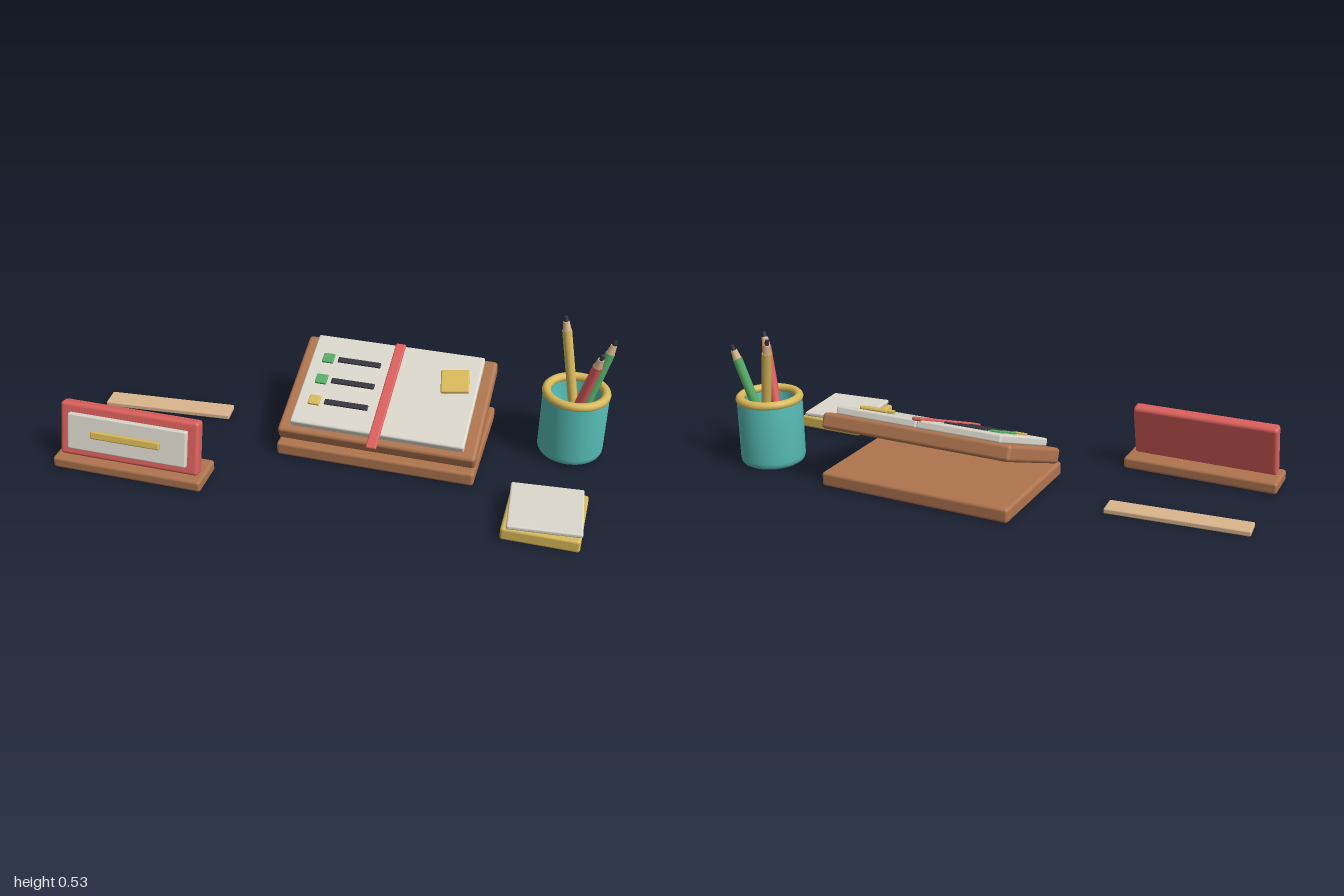
import * as THREE from 'three';
import { RoundedBoxGeometry } from 'three/addons/geometries/RoundedBoxGeometry.js';

const mat = (name, color) => new THREE.MeshStandardMaterial({ name, color });

export function createModel() {
  const brown = mat('brown wood', 0xb0754f);
  const red = mat('red', 0xdb605c);
  const tan = mat('pale wood', 0xdab68c);
  const teal = mat('teal', 0x55b9b2);
  const yellow = mat('yellow', 0xd8b95a);
  const paper = mat('paper', 0xdcd8cc);
  const dark = mat('graphite', 0x36353f);
  const green = mat('green', 0x57ad68);

  const model = new THREE.Group();
  model.name = 'deskSet';

  const group = (name, x = 0, y = 0, z = 0, parent = model) => {
    const g = new THREE.Group();
    g.name = name;
    g.position.set(x, y, z);
    parent.add(g);
    return g;
  };
  const add = (parent, name, geometry, material, x = 0, y = 0, z = 0) => {
    const m = new THREE.Mesh(geometry, material);
    m.name = name;
    m.position.set(x, y, z);
    parent.add(m);
    return m;
  };
  // Softly rounded slab
  const slab = (parent, name, material, [w, h, d], [x, y, z], r = 0.012) =>
    add(parent, name, new RoundedBoxGeometry(w, h, d, 3, Math.min(r, w * 0.45, h * 0.45, d * 0.45)), material, x, y, z);

  // Planner on a tilted stand
  const stand = group('plannerStand', 0.168, 0, -0.157);
  slab(stand, 'standBase', brown, [0.765, 0.055, 0.485], [0, 0.0275, 0]);
  const board = group('tiltedBoard', 0, 0.17, 0, stand);
  board.rotation.x = 0.375;
  slab(board, 'backBoard', brown, [0.765, 0.06, 0.475], [0, 0, 0], 0.014);
  for (const side of [-1, 1])
    slab(board, side < 0 ? 'rightPage' : 'leftPage', paper, [0.335, 0.032, 0.435], [side * 0.1675, 0.044, -0.006], 0.008);
  slab(board, 'ribbon', red, [0.04, 0.014, 0.505], [0, 0.062, 0.026], 0.006);

  // Checklist rows
  [-0.108, -0.003, 0.1].forEach((z, i) => {
    slab(board, 'checkBox', i < 2 ? green : yellow, [0.045, 0.012, 0.044], [-0.266, 0.062, z], 0.004);
    slab(board, 'textLine', dark, [0.172, 0.01, 0.024], [-0.141, 0.062, z], 0.004);
  });
  slab(board, 'pageNote', yellow, [0.108, 0.014, 0.108], [0.244, 0.066, -0.082], 0.006).rotation.y = 0.18;

  // Name plate on its foot
  const sign = group('deskSign', -0.7025, 0, 0.322);
  slab(sign, 'signBase', brown, [0.595, 0.046, 0.156], [0, 0.023, 0]);
  const panel = group('signPanel', 0, 0.145, 0, sign);
  panel.rotation.x = -0.25;
  slab(panel, 'signFrame', red, [0.555, 0.21, 0.05], [0, 0, 0], 0.014);
  slab(panel, 'signCard', paper, [0.475, 0.14, 0.024], [0, 0, 0.034], 0.006);
  slab(panel, 'signBar', yellow, [0.276, 0.03, 0.018], [0, 0.003, 0.053], 0.006);

  // Ruler lying flat
  slab(model, 'ruler', tan, [0.52, 0.02, 0.084], [-0.738, 0.01, -0.11], 0.005).rotation.y = 0.08;

  // Note pad with a loose top sheet
  const pad = group('notePad', 0.832, 0, 0.222);
  slab(pad, 'padBlock', yellow, [0.278, 0.05, 0.278], [0, 0.025, 0], 0.01);
  slab(pad, 'topSheet', paper, [0.263, 0.018, 0.263], [0.001, 0.06, 0], 0.007).rotation.y = 0.085;

  // Pencil cup: outer wall, rounded foot, hollow inside
  const cup = group('pencilCup', 0.865, 0, -0.265);
  const profile = [[0, 0], [0.1, 0], [0.11, 0.002], [0.119, 0.008], [0.124, 0.018], [0.125, 0.03],
    [0.125, 0.258], [0.1, 0.258], [0.1, 0.022], [0, 0.022]].map(([x, y]) => new THREE.Vector2(x, y));
  add(cup, 'cupBody', new THREE.LatheGeometry(profile, 48), teal);
  const rim = new THREE.TorusGeometry(0.112, 0.017, 12, 48).rotateX(Math.PI / 2);
  add(cup, 'cupRim', rim, yellow, 0, 0.261, 0);

  // Pencils, each running from the cup floor to its lead
  const up = new THREE.Vector3(0, 1, 0);
  const pencil = (name, material, from, to) => {
    const a = new THREE.Vector3(...from);
    const dir = new THREE.Vector3(...to).sub(a);
    const length = dir.length();
    const g = group(name, ...from);
    g.quaternion.setFromUnitVectors(up, dir.normalize());
    const body = length - 0.055;
    add(g, 'pencilBody', new THREE.CylinderGeometry(0.0185, 0.0185, body, 14), material, 0, body / 2, 0);
    add(g, 'pencilWood', new THREE.CylinderGeometry(0.012, 0.0165, 0.036, 14), tan, 0, body + 0.017, 0);
    add(g, 'pencilLead', new THREE.CylinderGeometry(0.0075, 0.0085, 0.024, 10), dark, 0, length - 0.012, 0);
  };
  pencil('yellowPencil', yellow, [0.885, 0.035, -0.288], [0.788, 0.524, -0.357]);
  pencil('redPencil', red, [0.828, 0.035, -0.243], [0.946, 0.486, -0.166]);
  pencil('greenPencil', green, [0.86, 0.035, -0.265], [0.982, 0.469, -0.32]);

  return model;
}
